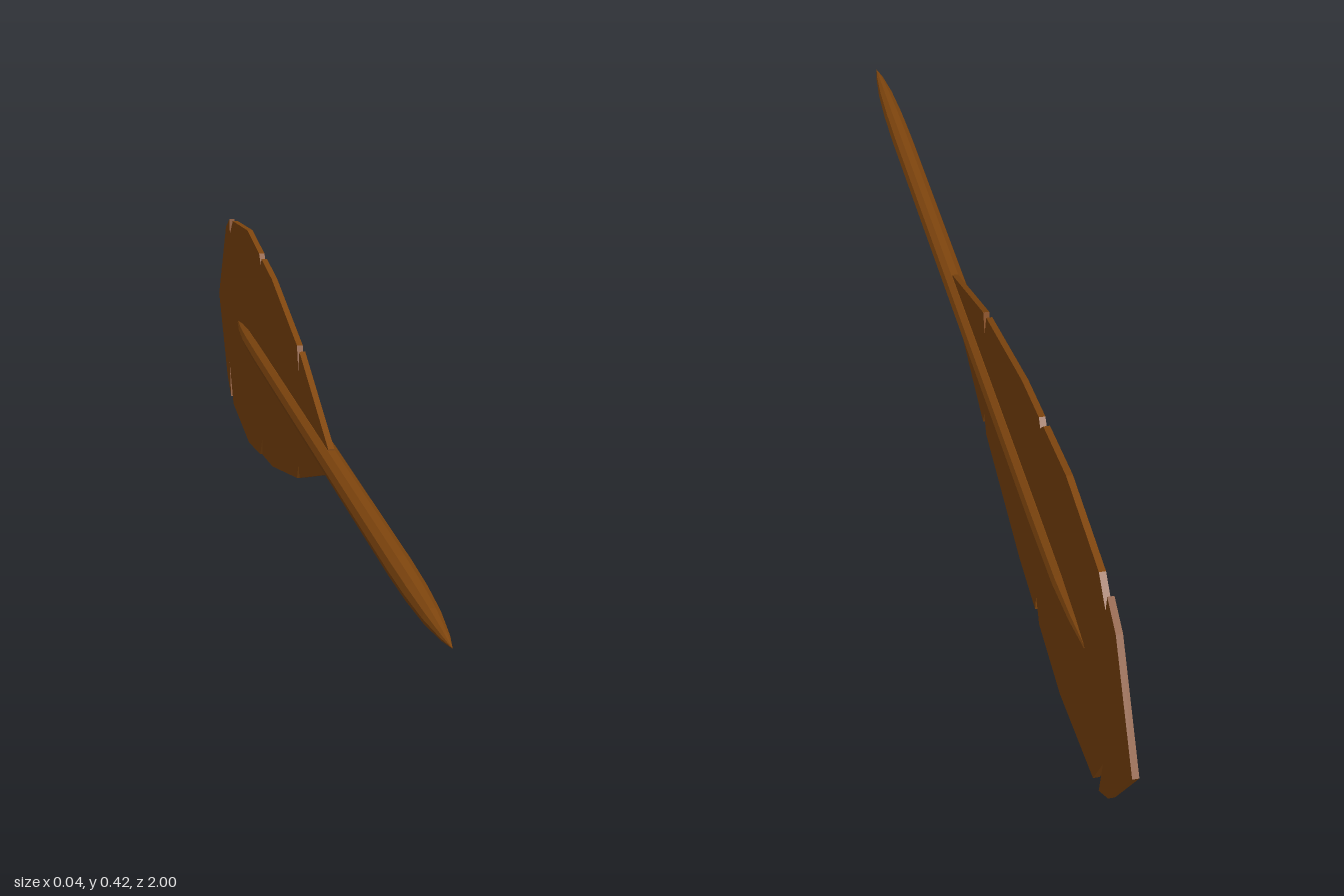
import * as THREE from 'three';

const AXIS_Y = 0.211;

export function createModel() {
  const group = new THREE.Group();
  const brown = new THREE.MeshStandardMaterial({ color: 0x80460e, flatShading: true });
  brown.name = 'brown';

  // Ten-sided quill shaft, pointed at the front and tapering out inside the vane
  const profile = [
    [0, -0.75], [0.006, -0.74], [0.013, -0.68], [0.018, -0.6], [0.0195, -0.45],
    [0.0195, 0.7], [0.018, 0.8], [0.014, 0.89], [0.007, 0.96], [0, 1],
  ].map(([r, z]) => new THREE.Vector2(r, z));
  const shaftGeo = new THREE.LatheGeometry(profile, 10);
  shaftGeo.rotateY(Math.PI / 2);
  shaftGeo.rotateX(Math.PI / 2);
  const shaft = new THREE.Mesh(shaftGeo, brown);
  shaft.name = 'shaft';
  shaft.position.y = AXIS_Y;
  group.add(shaft);

  // Notched vane outline: distance toward the back, height
  const outline = [
    [-0.2, 0.232], [0.057, 0.326], [0.068, 0.29], [0.08, 0.331], [0.335, 0.389],
    [0.447, 0.402], [0.457, 0.389], [0.475, 0.406], [0.613, 0.422], [0.8, 0.403],
    [0.84, 0.368], [0.845, 0.398], [0.893, 0.373], [1, 0.211],
    [0.893, 0.064], [0.845, 0.03], [0.86, 0.098], [0.813, 0.023], [0.613, 0],
    [0.475, 0.018], [0.452, 0.055], [0.447, 0.025], [0.335, 0.037], [0.082, 0.095],
    [0.066, 0.125], [0.057, 0.103], [-0.2, 0.19],
  ].map(([s, y]) => new THREE.Vector2(s, y));
  const thickness = 0.01;
  const vaneGeo = new THREE.ExtrudeGeometry(new THREE.Shape(outline), {
    depth: thickness, bevelEnabled: false,
  });
  vaneGeo.translate(0, 0, -thickness / 2);
  vaneGeo.rotateY(Math.PI / 2);
  const vane = new THREE.Mesh(vaneGeo, brown);
  vane.name = 'vane';
  group.add(vane);

  return group;
}
